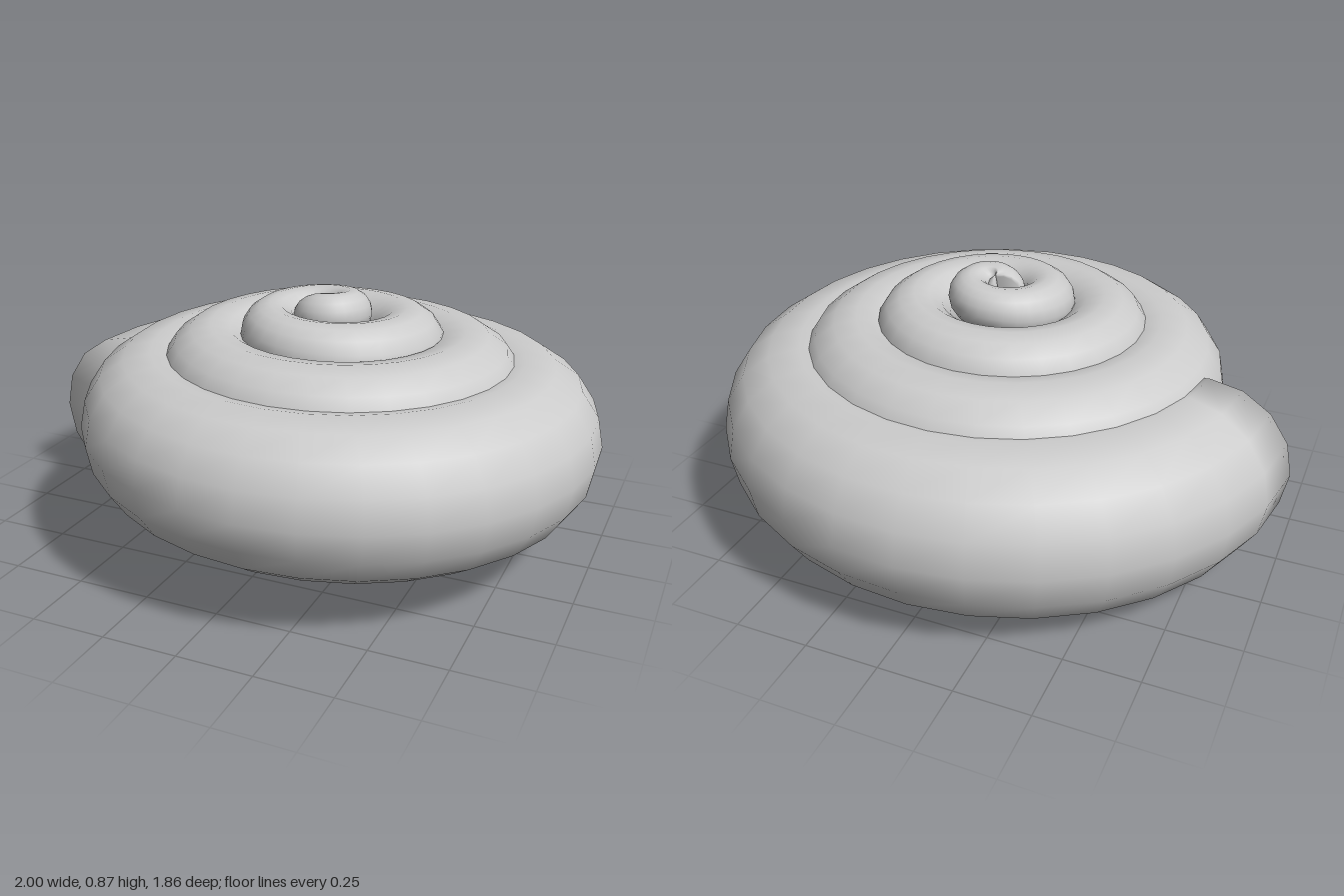
import * as THREE from 'three';

const TURNS = 4, STEPS = 120, SIDES = 16;
const AXIS_X = 0.0675, AXIS_Z = 0.0625;

// Size and place of the coiled tube, t turns inward from the mouth
function whorl(t) {
  const d = Math.max(0, t - 3.2), dip = Math.max(0, t - 3.45);
  const radius = 0.303 - 0.07 * t + 0.06 * d;
  const reach = 0.7645 - 0.2 * t + 0.1 * d * d;
  const top = 0.606 + 0.1 * t - 0.007 * t * t - 0.16 * dip * dip;
  return { radius, reach, y: top - radius };
}

function coilGeometry() {
  const positions = [], indices = [];
  const addPoint = (angle, reach, y) => positions.push(
    AXIS_X - reach * Math.cos(angle), y, AXIS_Z - reach * Math.sin(angle));

  // Round cross-sections, each in an upright plane through the axis
  for (let i = 0; i <= STEPS; i++) {
    const t = TURNS * i / STEPS, angle = t * Math.PI * 2;
    const { radius, reach, y } = whorl(t);
    for (let j = 0; j < SIDES; j++) {
      const a = j / SIDES * Math.PI * 2;
      addPoint(angle, reach + radius * Math.cos(a), y + radius * Math.sin(a));
    }
  }
  for (let i = 0; i < STEPS; i++) {
    for (let j = 0; j < SIDES; j++) {
      const k = (j + 1) % SIDES;
      const a = i * SIDES + j, b = i * SIDES + k;
      const c = a + SIDES, d = b + SIDES;
      indices.push(a, b, c, b, d, c);
    }
  }

  // Closed mouth and closed tip
  for (const [step, flip] of [[0, false], [STEPS, true]]) {
    const t = TURNS * step / STEPS, { reach, y } = whorl(t);
    const centre = positions.length / 3;
    addPoint(t * Math.PI * 2, reach, y);
    for (let j = 0; j < SIDES; j++) {
      const a = step * SIDES + j, b = step * SIDES + (j + 1) % SIDES;
      if (flip) indices.push(centre, a, b);
      else indices.push(centre, b, a);
    }
  }

  const geometry = new THREE.BufferGeometry();
  geometry.setAttribute('position', new THREE.Float32BufferAttribute(positions, 3));
  geometry.setIndex(indices);
  geometry.computeVertexNormals();
  return geometry;
}

export function createModel() {
  const group = new THREE.Group();
  group.name = 'snailShell';
  const material = new THREE.MeshStandardMaterial({ color: 0xcccccc, side: THREE.DoubleSide });
  const shell = new THREE.Mesh(coilGeometry(), material);
  shell.name = 'spiralWhorls';
  group.add(shell);
  return group;
}
